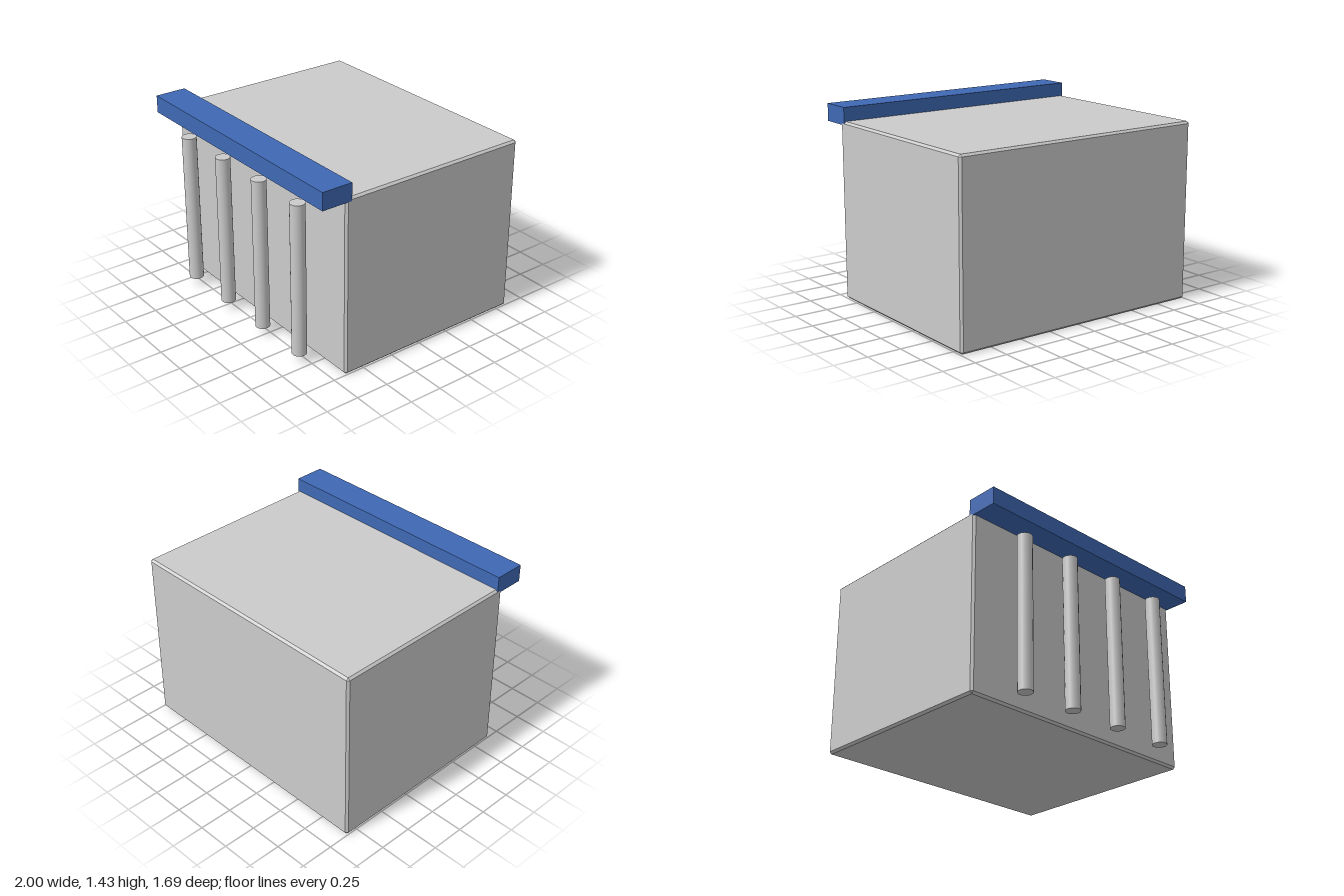
import * as THREE from 'three';
import { ConvexGeometry } from 'three/addons/geometries/ConvexGeometry.js';

// Box with a flat chamfer on every edge, centred on the origin
function chamferedBox(w, h, d, c) {
  const points = [];
  for (const sx of [-1, 1]) for (const sy of [-1, 1]) for (const sz of [-1, 1]) {
    for (let axis = 0; axis < 3; axis++) {
      const p = [w / 2 - c, h / 2 - c, d / 2 - c];
      p[axis] += c;
      points.push(new THREE.Vector3(sx * p[0], sy * p[1], sz * p[2]));
    }
  }
  return new ConvexGeometry(points);
}

export function createModel() {
  const model = new THREE.Group();
  const grey = new THREE.MeshStandardMaterial({ color: 0xcccccc });
  const blue = new THREE.MeshStandardMaterial({ color: 0x3f69b5 });

  const add = (name, geometry, material, x, y, z) => {
    const mesh = new THREE.Mesh(geometry, material);
    mesh.name = name;
    mesh.position.set(x, y, z);
    model.add(mesh);
  };

  // Main block
  add('building', chamferedBox(2, 1.33, 1.5, 0.016), grey, 0, 0.665, -0.094);

  // Beam along the front roof edge
  add('frontBeam', new THREE.BoxGeometry(2, 0.13, 0.235), blue, 0, 1.368, 0.727);

  // Row of free-standing columns under the beam
  const column = new THREE.CylinderGeometry(0.054, 0.054, 1.152, 16);
  for (let i = 0; i < 4; i++) {
    add('column' + (i + 1), column, grey, -0.66 + i * 0.44, 0.637, 0.791);
  }

  return model;
}
